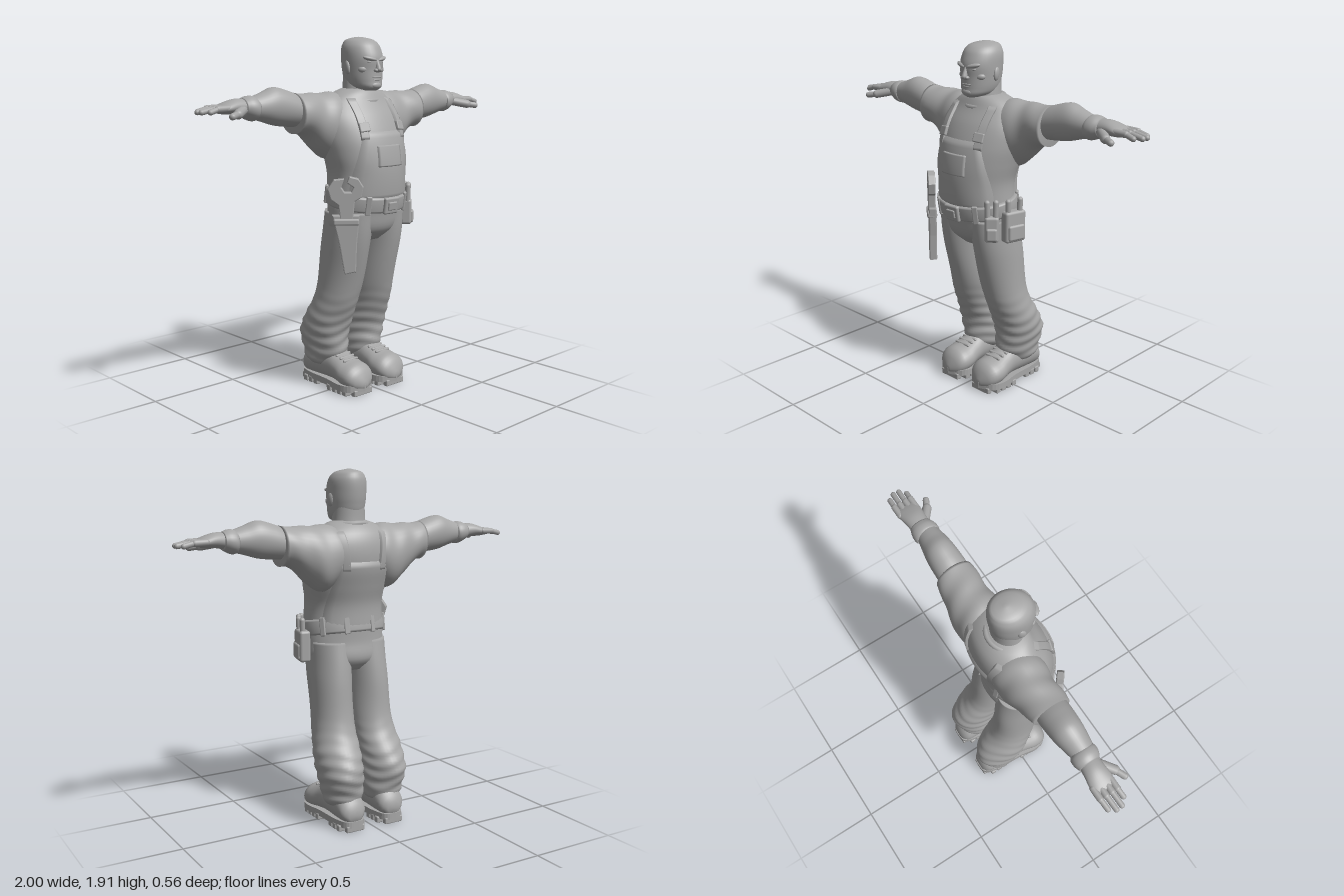
import * as THREE from 'three';
import { RoundedBoxGeometry } from 'three/addons/geometries/RoundedBoxGeometry.js';

const grey = new THREE.MeshStandardMaterial({ color: 0xa6a6a6, side: THREE.DoubleSide });
grey.name = 'clay grey';

// Smooth interpolation of section rows [t, a, b, ra, rb] at position t
function at(S, t) {
  let i = 0;
  while (i < S.length - 2 && t > S[i + 1][0]) i++;
  const h = S[i + 1][0] - S[i][0], u = THREE.MathUtils.clamp((t - S[i][0]) / h, 0, 1);
  const slope = (k, c) => {
    const a = S[Math.max(k - 1, 0)], b = S[Math.min(k + 1, S.length - 1)];
    return (b[c] - a[c]) / (b[0] - a[0]);
  };
  return [1, 2, 3, 4].map(c => {
    const u2 = u * u, u3 = u2 * u;
    return (2 * u3 - 3 * u2 + 1) * S[i][c] + (u3 - 2 * u2 + u) * h * slope(i, c)
      + (3 * u2 - 2 * u3) * S[i + 1][c] + (u3 - u2) * h * slope(i + 1, c);
  });
}

const geo = (pos, idx) => {
  const g = new THREE.BufferGeometry();
  g.setAttribute('position', new THREE.Float32BufferAttribute(pos, 3));
  g.setIndex(idx);
  g.computeVertexNormals();
  return g;
};

// Elliptical sections skinned along an axis, capped at both ends; fold(t, angle) scales the radius
function loft(S, axis = 'y', rings = 32, segs = 32, fold = () => 0) {
  const pos = [], idx = [], t0 = S[0][0], t1 = S[S.length - 1][0];
  const put = (t, a, b) => pos.push(...(axis === 'y' ? [a, t, b] : axis === 'x' ? [t, a, b] : [a, b, t]));
  const dir = axis === 'y' ? 1 : -1;
  for (let i = 0; i <= rings; i++) {
    const t = t0 + (t1 - t0) * i / rings, [a, b, ra, rb] = at(S, t);
    for (let j = 0; j < segs; j++) {
      const q = j / segs * Math.PI * 2, k = 1 + fold(t, q);
      put(t, a + ra * k * Math.cos(q), b + dir * rb * k * Math.sin(q));
    }
  }
  for (let i = 0; i < rings; i++) for (let j = 0; j < segs; j++) {
    const p = i * segs + j, q = i * segs + (j + 1) % segs;
    idx.push(p, p + segs, q, q, p + segs, q + segs);
  }
  const n = (rings + 1) * segs, e = rings * segs;
  put(t0, S[0][1], S[0][2]);
  put(t1, S[S.length - 1][1], S[S.length - 1][2]);
  for (let j = 0; j < segs; j++) {
    const k = (j + 1) % segs;
    idx.push(n, j, k, n + 1, e + k, e + j);
  }
  return geo(pos, idx);
}

// Cloth panel lying on a loft between two heights, its borders tucked under the surface
function panel(S, y0, y1, xl, xr, side, lift = 0.012) {
  const pos = [], idx = [], N = 16, M = 20;
  for (let i = 0; i <= M; i++) for (let j = 0; j <= N; j++) {
    const y = y0 + (y1 - y0) * i / M, v = i / M;
    const [a, b, rx, rz] = at(S, y);
    const x = THREE.MathUtils.lerp(xl(v), xr(v), j / N);
    const q = Math.acos(THREE.MathUtils.clamp((x - a) / rx, -1, 1));
    const o = i === 0 || j === 0 || i === M || j === N ? -0.004 : lift;
    pos.push(a + (rx + o) * Math.cos(q), y, b + side * (rz + o) * Math.sin(q));
  }
  for (let i = 0; i < M; i++) for (let j = 0; j < N; j++) {
    const p = i * (N + 1) + j, q = p + N + 1;
    if (side > 0) idx.push(p, p + 1, q, q, p + 1, q + 1);
    else idx.push(p, q, p + 1, q, q + 1, p + 1);
  }
  return geo(pos, idx);
}

function add(parent, name, g, p = [0, 0, 0], r = [0, 0, 0], s = [1, 1, 1]) {
  const m = new THREE.Mesh(g, grey);
  m.name = name;
  m.position.set(...p); m.rotation.set(...r); m.scale.set(...s);
  parent.add(m);
  return m;
}
const box = (w, h, d, r = 0.01) => new RoundedBoxGeometry(w, h, d, 2, r);
const ball = new THREE.SphereGeometry(1, 20, 14);

// Rounded rod between two points
function rod(parent, name, a, b, r) {
  const A = new THREE.Vector3(...a), d = new THREE.Vector3(...b).sub(A), L = d.length();
  const m = add(parent, name, new THREE.CapsuleGeometry(r, L, 5, 12));
  m.position.copy(A).addScaledVector(d, 0.5);
  m.quaternion.setFromUnitVectors(new THREE.Vector3(0, 1, 0), d.normalize());
}

const torsoS = [[.84, 0, .04, .12, .1], [.9, 0, .047, .215, .155], [1, 0, .063, .228, .165], [1.08, 0, .072, .222, .175],
  [1.2, 0, .075, .218, .18], [1.3, 0, .058, .24, .19], [1.4, 0, .033, .262, .192], [1.5, 0, .01, .262, .172],
  [1.58, 0, -.005, .215, .135], [1.63, 0, .005, .14, .1], [1.65, 0, .015, .08, .07]];

// Arm, glove, trouser leg and boot of the model's left side
function limbs() {
  const g = new THREE.Group();
  add(g, 'sleeve', loft([[.06, 1.49, -.01, .12, .12], [.15, 1.46, -.02, .165, .138], [.22, 1.455, -.022, .175, .132],
    [.28, 1.475, -.024, .15, .122], [.34, 1.505, -.02, .12, .113], [.4, 1.523, -.015, .104, .108], [.435, 1.525, -.013, .104, .104]],
    'x', 30, 32, (t, q) => .02 * Math.sin(t * 45 + 2 * q)));
  add(g, 'forearm', loft([[.4, 1.535, -.012, .08, .085], [.48, 1.552, -.014, .092, .085], [.56, 1.565, -.015, .095, .08],
    [.63, 1.563, -.012, .073, .07], [.71, 1.56, -.01, .05, .055]], 'x'));
  add(g, 'gloveCuff', loft([[.675, 1.558, -.012, .054, .064], [.69, 1.558, -.013, .062, .07],
    [.72, 1.562, -.015, .058, .068], [.75, 1.565, -.018, .044, .056]], 'x', 12), [0, 0, 0]);
  add(g, 'palm', loft([[.72, 1.563, -.015, .044, .05], [.79, 1.57, -.02, .038, .056], [.85, 1.563, -.022, .028, .062],
    [.89, 1.557, -.023, .016, .055]], 'x', 16));
  [[-.072, .965], [-.04, .987], [-.008, .985], [.022, .955]].forEach(([z, x]) => {
    rod(g, 'fingerBase', [.85, 1.565, z], [.91, 1.563, z], .017);
    rod(g, 'fingerTip', [.91, 1.563, z], [x, 1.55, z + .004], .014);
  });
  rod(g, 'thumbBase', [.76, 1.555, .015], [.83, 1.538, .07], .024);
  rod(g, 'thumbTip', [.83, 1.538, .07], [.878, 1.53, .093], .017);

  // Baggy trousers with bunched folds toward the ankle
  add(g, 'trouserLeg', loft([[.13, .122, -.12, .09, .1], [.16, .125, -.12, .106, .122], [.2, .126, -.115, .112, .134],
    [.3, .135, -.12, .125, .147], [.4, .134, -.085, .126, .143], [.5, .126, -.035, .117, .134], [.6, .119, -.005, .113, .135],
    [.8, .116, .03, .114, .15], [.9, .112, .046, .114, .155], [1, .108, .06, .115, .155]], 'y', 70, 40, (t, q) => {
    const k = 1 - THREE.MathUtils.smoothstep(t, .28, .6);
    return k * (.03 * Math.sin(95 * t + 2 * Math.sin(q * 2)) + .025 * Math.sin(3 * q + 18 * t)) + .012 * Math.sin(2 * q + 14 * t);
  }));

  // Work boot with heel, tread bars and laces
  const boot = new THREE.Group();
  boot.name = 'boot';
  add(boot, 'bootUpper', loft([[-.265, 0, .09, .04, .035], [-.24, 0, .105, .072, .065], [-.17, 0, .125, .082, .09],
    [-.03, 0, .13, .082, .09], [.03, 0, .117, .088, .08], [.09, 0, .1, .099, .075], [.15, 0, .09, .092, .07],
    [.185, 0, .075, .06, .045], [.198, 0, .06, .02, .02]], 'z'));
  const outline = new THREE.Shape(new THREE.SplineCurve([[0, -.2], [.08, -.165], [.105, -.09], [.088, .02], [.08, .17], [.055, .255],
    [0, .27], [-.055, .255], [-.08, .17], [-.088, .02], [-.105, -.09], [-.08, -.165], [0, -.2]].map(p => new THREE.Vector2(...p))).getPoints(48));
  add(boot, 'sole', new THREE.ExtrudeGeometry(outline, { depth: .035, bevelEnabled: false }), [0, .025, 0], [-Math.PI / 2, 0, 0])
  for (let i = 0; i < 11; i++) {
    const z = -.25 + i * .042;
    if (i === 4 || i === 5) continue;
    const w = i === 0 ? .11 : i === 10 ? .13 : i < 4 ? .165 : .19;
    add(boot, 'tread', box(w, .035, .032, .006), [0, .018, z]);
  }
  for (let i = 0; i < 3; i++) rod(boot, 'lace', [-.045, .19 - i * .008, .02 + i * .03], [.045, .19 - i * .008, .02 + i * .03], .008);
  boot.position.set(.122, 0, 0);
  g.add(boot);

  // Overall strap, buckle and facial halves
  add(g, 'frontStrap', panel(torsoS, 1.38, 1.6, () => .105, () => .15, 1, .014));
  add(g, 'backStrap', panel(torsoS, 1.38, 1.6, v => .08 + .025 * v, v => .125 + .025 * v, -1, .012));
  add(g, 'strapBuckle', box(.06, .05, .018, .006), [.128, 1.45, .195], [-.35, .3, 0]);
  add(g, 'ear', ball, [.1, 1.755, .035], [-.15, .25, 0], [.012, .036, .022]);
  add(g, 'brow', ball, [.042, 1.8, .145], [0, .35, .2], [.04, .012, .018]);
  add(g, 'eye', ball, [.04, 1.782, .143], [0, .25, 0], [.018, .008, .01]);
  add(g, 'cheek', ball, [.06, 1.745, .115], [0, .5, 0], [.03, .02, .02]);
  add(g, 'nostril', ball, [.015, 1.74, .163], [0, 0, 0], [.011, .009, .013]);
  return g;
}

export function createModel() {
  const model = new THREE.Group();
  model.name = 'worker';
  const left = limbs(), right = limbs();
  left.name = 'leftSide'; right.name = 'rightSide';
  right.scale.x = -1;
  model.add(left, right);

  add(model, 'torso', loft(torsoS, 'y', 48, 48));
  add(model, 'bib', panel(torsoS, 1.06, 1.43, v => -.205 + .07 * v * v, v => .205 - .07 * v * v, 1));
  add(model, 'bibPocket', panel(torsoS, 1.24, 1.36, () => -.085, () => .085, 1, .018));
  add(model, 'backPanel', panel(torsoS, 1.06, 1.44, v => -.2 + .05 * v, v => .2 - .05 * v, -1));
  add(model, 'collar', new THREE.TorusGeometry(.105, .014, 10, 36), [0, 1.607, .017], [Math.PI / 2 + .25, 0, 0]);

  // Head
  add(model, 'neck', loft([[1.54, 0, .01, .11, .1], [1.62, 0, .017, .095, .085], [1.74, 0, .01, .085, .075]], 'y', 12));
  add(model, 'head', loft([[1.635, 0, .095, .03, .045], [1.65, 0, .07, .07, .09], [1.68, 0, .052, .09, .108], [1.74, 0, .043, .1, .116],
    [1.8, 0, .041, .103, .121], [1.85, 0, .033, .1, .113], [1.88, 0, .027, .088, .1], [1.903, 0, .018, .062, .073],
    [1.915, 0, .012, .012, .015]], 'y', 40, 36));
  add(model, 'nose', loft([[1.728, 0, .155, .008, .012], [1.74, 0, .164, .015, .02], [1.755, 0, .162, .013, .019],
    [1.785, 0, .153, .01, .014], [1.805, 0, .15, .009, .008]], 'y', 12, 16));
  add(model, 'upperLip', ball, [0, 1.704, .151], [0, 0, 0], [.034, .006, .011]);
  add(model, 'lowerLip', ball, [0, 1.692, .15], [0, 0, 0], [.028, .007, .012]);
  add(model, 'chin', ball, [0, 1.663, .145], [0, 0, 0], [.036, .02, .02]);

  // Belt, sloping down to the buckle
  const belt = new THREE.Group();
  belt.name = 'belt';
  belt.position.set(0, 1.07, .075);
  belt.rotation.x = .17;
  add(belt, 'beltBand', loft([[-.042, 0, 0, .228, .182], [-.036, 0, 0, .238, .19], [.036, 0, 0, .238, .19], [.042, 0, 0, .228, .182]], 'y', 14, 48));
  add(belt, 'beltBuckle', box(.1, .09, .025), [0, 0, .19]);
  add(belt, 'bucklePin', box(.06, .045, .02, .006), [0, 0, .2]);
  for (const a of [.6, 2.2, 2.8, 3.48, 4.1, 5.7])
    add(belt, 'beltLoop', box(.03, .1, .016, .005), [.237 * Math.sin(a), 0, .189 * Math.cos(a)], [0, a, 0]);
  model.add(belt);

  // Tool pouches on the left hip
  [[.205, .178, .75, .075, .14, .975], [.258, .07, 1.35, .125, .17, .98]].forEach(([x, z, turn, w, h, y]) => {
    const p = new THREE.Group();
    p.name = 'toolPouch';
    p.position.set(x, y, z);
    p.rotation.y = turn;
    add(p, 'pouchBody', box(w, h, .06, .015));
    add(p, 'pouchPocket', box(w * .8, h * .5, .03, .012), [0, -h * .18, .025]);
    for (const k of [-.28, .25])
      rod(p, 'toolHandle', [k * w, 0, .005], [k * w * 1.15, 1.135 - y - Math.abs(k) * .06, .01], .015);
    model.add(p);
  });

  // Pipe wrench in a holster on the right hip
  const w = new THREE.Group();
  w.name = 'wrenchHolster';
  w.position.set(-.248, 0, .185);
  w.rotation.set(0, -.7, 0);
  const sheath = new THREE.Shape([[-.065, 1.0], [.065, 1.0], [.05, .85], [.045, .71], [-.005, .7], [-.03, .85]].map(p => new THREE.Vector2(...p)));
  add(w, 'holster', new THREE.ExtrudeGeometry(sheath, { depth: .03, bevelSize: .006, bevelThickness: .006, bevelSegments: 2 }), [0, 0, -.018]);
  add(w, 'holsterBand', box(.135, .035, .055), [0, .97, 0]);
  const jaw = new THREE.Shape([[-.025, .98], [.03, .98], [.04, 1.08], [.075, 1.1], [.085, 1.15], [.06, 1.19], [.02, 1.2], [.01, 1.175],
    [.045, 1.15], [.03, 1.12], [-.01, 1.12], [-.03, 1.15], [-.015, 1.19], [-.06, 1.185], [-.09, 1.14], [-.075, 1.09], [-.035, 1.06]].map(p => new THREE.Vector2(...p)));
  add(w, 'wrench', new THREE.ExtrudeGeometry(jaw, { depth: .03, bevelSize: .005, bevelThickness: .005, bevelSegments: 2 }), [0, 0, -.015]);
  model.add(w);
  return model;
}
